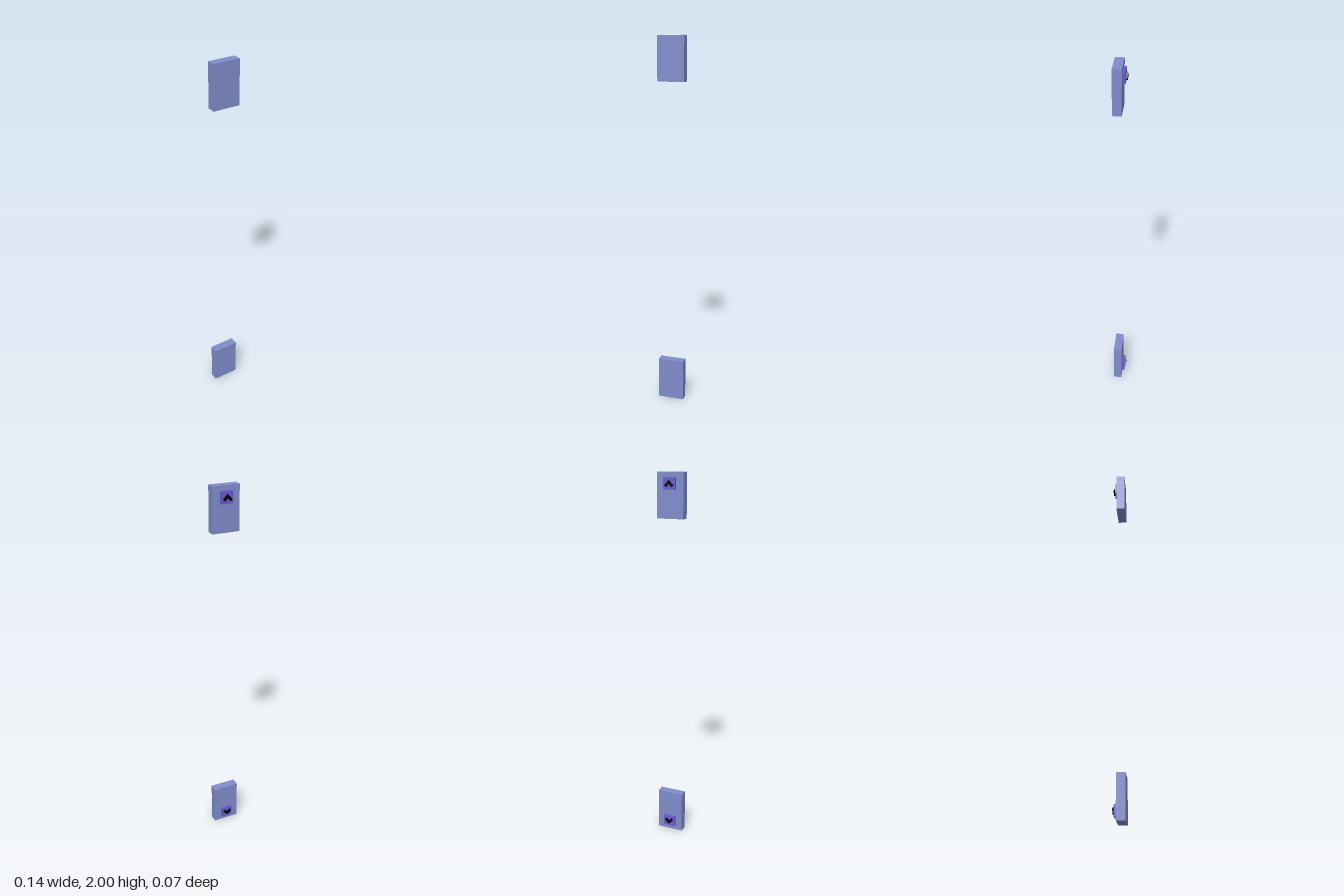
import * as THREE from 'three';

const material = (color) => new THREE.MeshStandardMaterial({ color, flatShading: true });
const panelMat = material(0x7f8ccb);
const buttonMat = material(0x6a5acd);
const arrowMat = material(0x000000);

function box(name, w, h, y, zBack, zFront, mat) {
  const mesh = new THREE.Mesh(new THREE.BoxGeometry(w, h, zFront - zBack), mat);
  mesh.name = name;
  mesh.position.set(0, y, (zBack + zFront) / 2);
  return mesh;
}

// Chevron pointing up (dir = 1) or down (dir = -1)
function chevron(dir) {
  const points = [[-0.024, -0.008], [-0.015, -0.017], [0, -0.001],
    [0.015, -0.017], [0.024, -0.008], [0, 0.017]];
  const shape = new THREE.Shape(points.map(([x, y]) => new THREE.Vector2(x, y * dir)));
  const mesh = new THREE.Mesh(
    new THREE.ExtrudeGeometry(shape, { depth: 0.008, bevelEnabled: false }), arrowMat);
  mesh.name = 'arrow';
  return mesh;
}

// Panel with a button and arrow on its back, near the outer end
function callPanel(name, panelY, buttonY, dir) {
  const group = new THREE.Group();
  group.name = name;
  group.add(box('panel', 0.144, 0.23, panelY, -0.013, 0.033, panelMat));
  group.add(box('button', 0.064, 0.06, buttonY, -0.027, -0.013, buttonMat));
  const arrow = chevron(dir);
  arrow.position.set(0, buttonY, -0.035);
  group.add(arrow);
  return group;
}

export function createModel() {
  const model = new THREE.Group();
  model.name = 'callButtons';
  model.add(callPanel('upperPanel', 1.885, 1.944, 1));
  model.add(callPanel('lowerPanel', 0.115, 0.056, -1));
  return model;
}
